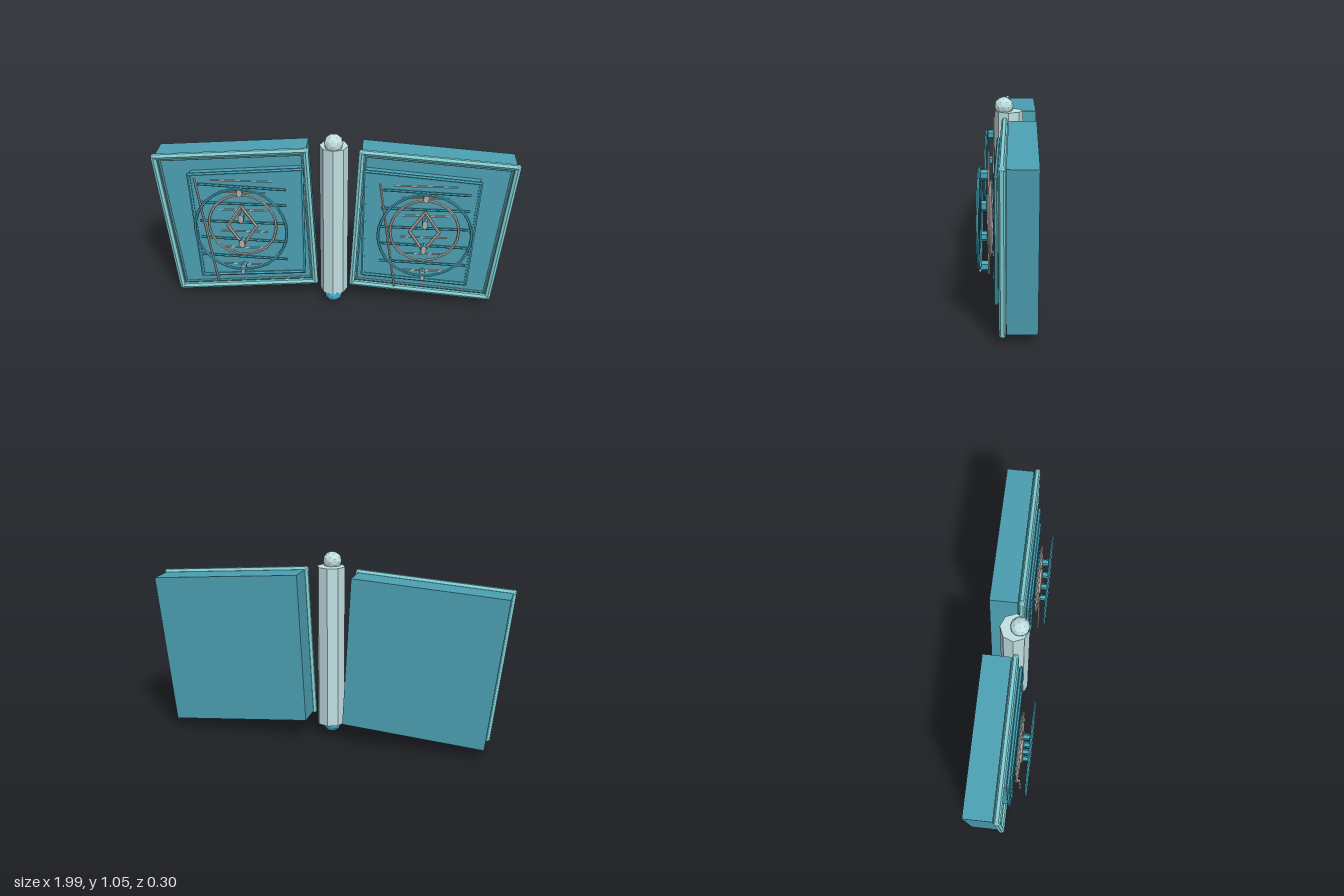
import * as THREE from 'three';

const paint = (name, color) => {
  const m = new THREE.MeshStandardMaterial({ color, flatShading: true });
  m.name = name;
  return m;
};

export function createModel() {
  const slate = paint('slate teal', 0x4ca0b3);
  const pale = paint('pale aqua', 0x80cfd4);
  const teal = paint('deep teal', 0x45a6bb);
  const stone = paint('pale stone', 0xc1e0e3);
  const ash = paint('warm ash', 0xb4aea6);
  const blue = paint('bright blue', 0x45b2cd);

  const model = new THREE.Group();
  model.name = 'twinPanels';

  const add = (parent, name, geometry, material, x = 0, y = 0, z = 0) => {
    const mesh = new THREE.Mesh(geometry, material);
    mesh.name = name;
    mesh.position.set(x, y, z);
    parent.add(mesh);
    return mesh;
  };

  // Straight round bar between two points at depth z
  const rod = (parent, name, a, b, z, r, material) => {
    const dir = new THREE.Vector3(b[0] - a[0], b[1] - a[1], 0);
    const mesh = add(parent, name, new THREE.CylinderGeometry(r, r, dir.length(), 6), material,
      (a[0] + b[0]) / 2, (a[1] + b[1]) / 2, z);
    mesh.quaternion.setFromUnitVectors(new THREE.Vector3(0, 1, 0), dir.normalize());
  };

  // Closed loop of bars with rounded corners
  const frame = (parent, name, points, z, r, material) => {
    const group = new THREE.Group();
    group.name = name;
    parent.add(group);
    points.forEach((p, i) => {
      rod(group, name + 'Rail', p, points[(i + 1) % points.length], z, r, material);
      add(group, name + 'Corner', new THREE.IcosahedronGeometry(r, 1), material, p[0], p[1], z);
    });
  };

  // Flat four-sided slab between two depths
  const slab = (parent, name, points, back, front, material) => {
    const shape = new THREE.Shape(points.map(([x, y]) => new THREE.Vector2(x, y)));
    add(parent, name, new THREE.ExtrudeGeometry(shape, { depth: front - back, bevelEnabled: false }), material, 0, 0, back);
  };

  // Central post with a ball at each end
  add(model, 'post', new THREE.CylinderGeometry(0.078, 0.078, 0.905, 8), stone, 0, 0.5225, 0);
  add(model, 'topBall', new THREE.IcosahedronGeometry(0.052, 1), stone, 0, 1.0, 0.027);
  add(model, 'bottomBall', new THREE.IcosahedronGeometry(0.052, 1), blue, 0, 0.055, 0.027);

  const outer = [[0.105, 0.122], [0.885, 0.055], [0.98, 0.885], [0.15, 0.947]];
  const lip = outer.map(([x, y]) => [x + (0.53 - x) * 0.06, y + (0.5 - y) * 0.06]);
  const inner = [[0.165, 0.205], [0.75, 0.16], [0.79, 0.8], [0.17, 0.852]];

  for (const side of [1, -1]) {
    const wing = new THREE.Group();
    wing.name = side > 0 ? 'leftWing' : 'rightWing';
    model.add(wing);
    const mirror = (points) => points.map(([x, y]) => [x * side, y]);

    // Tapered body, raised inner plate and their borders
    slab(wing, 'body', mirror(outer), -0.15, 0, slate);
    slab(wing, 'innerPlate', mirror(inner), 0, 0.05, slate);
    frame(wing, 'outerBorder', mirror(outer), 0.02, 0.017, pale);
    frame(wing, 'outerLip', mirror(lip), 0.012, 0.006, pale);
    frame(wing, 'innerBorder', mirror(inner), 0.052, 0.01, teal);

    // The ornament is repeated, not mirrored, on both wings
    const ornament = new THREE.Group();
    ornament.name = 'ornament';
    ornament.position.set(0.5 * side, 0.515, 0);
    wing.add(ornament);

    add(ornament, 'largeRing', new THREE.TorusGeometry(0.252, 0.008, 6, 32), teal, 0, 0, 0.141);
    add(ornament, 'smallRing', new THREE.TorusGeometry(0.187, 0.008, 6, 28), ash, 0, 0, 0.085);
    frame(ornament, 'diamond', [[0, -0.122], [0.08, 0], [0, 0.122], [-0.08, 0]], 0.095, 0.009, ash);
    rod(ornament, 'slantedStick', [-0.247, 0.29], [-0.153, -0.355], 0.103, 0.007, ash);

    // Bars resting on the inner plate: centre height and end drop
    for (const [y, drop] of [[0.225, 0.01], [0.12, 0.002], [0.005, 0.002], [-0.105, 0.008], [-0.218, 0.008]]) {
      rod(ornament, 'bar', [-0.24, y + drop], [0.24, y - drop], 0.063, 0.007, teal);
    }
    for (const [y, half] of [[0.255, 0.17], [0.185, 0.13], [0.075, 0.13], [-0.06, 0.13], [-0.165, 0.13], [-0.275, 0.13]]) {
      rod(ornament, 'thinBar', [-half, y], [half, y], 0.052, 0.004, ash);
    }

    // Small pegs up the middle, with ash end faces
    for (const y of [0.224, 0.064, -0.094, -0.254]) {
      const peg = add(ornament, 'peg', new THREE.CylinderGeometry(0.028, 0.028, 0.036, 6), [teal, ash, ash], 0, y, 0.115);
      peg.rotation.x = Math.PI / 2;
      peg.scale.x = 0.6;
    }
    add(ornament, 'stud', new THREE.BoxGeometry(0.02, 0.03, 0.012), ash, 0, -0.268, 0.139);
  }
  return model;
}
